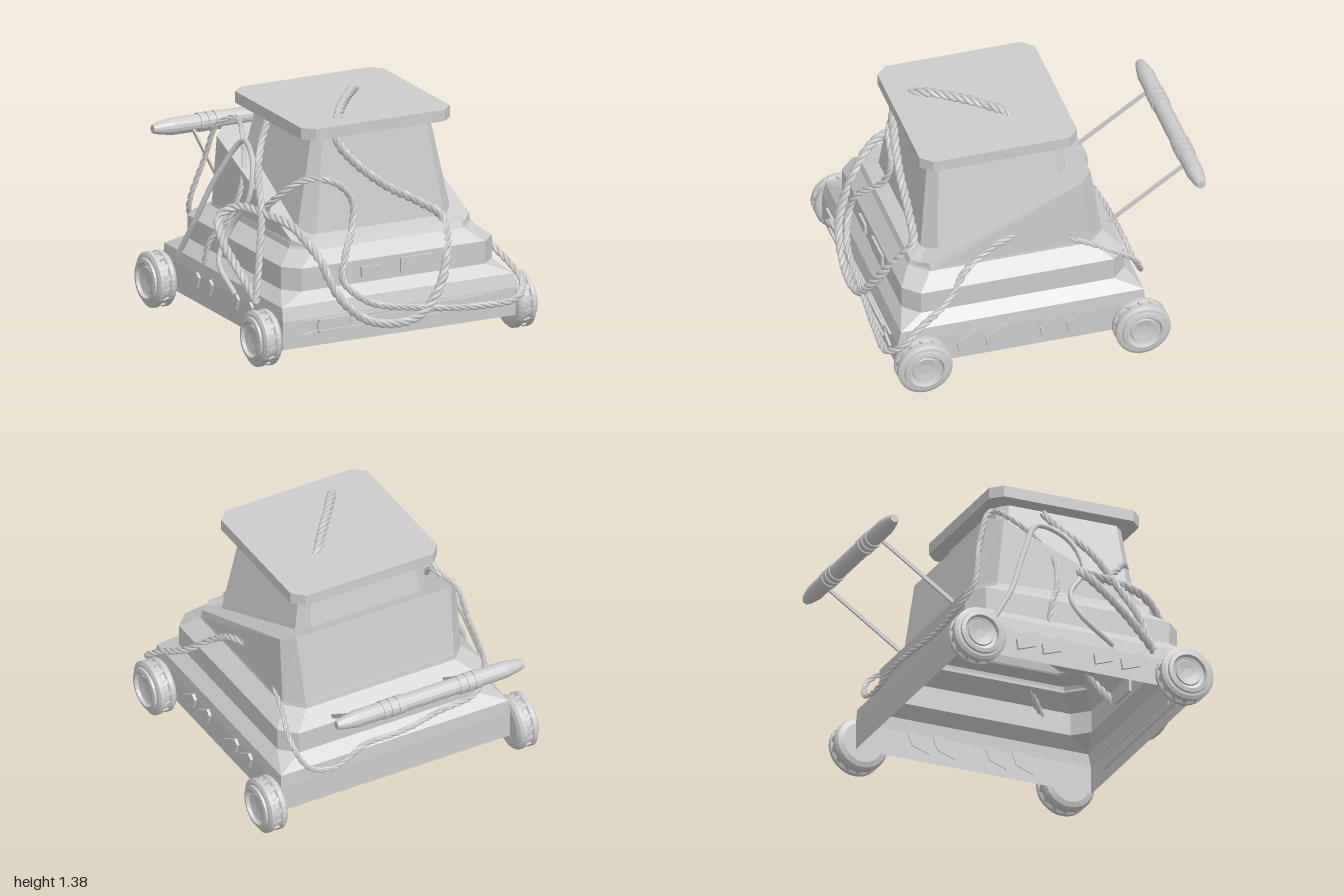
import * as THREE from 'three';

const V = (p) => new THREE.Vector3(...p);
const flat = new THREE.MeshStandardMaterial({ color: 0xcccccc, flatShading: true, side: THREE.DoubleSide });
const smooth = new THREE.MeshStandardMaterial({ color: 0xcccccc });

function add(parent, name, geometry, material = flat, pos = [0, 0, 0]) {
  const m = new THREE.Mesh(geometry, material);
  m.name = name;
  m.position.set(...pos);
  parent.add(m);
  return m;
}

// Shell through rectangular rings with cut corners: [y or y(z), half width, back z, front z, corner cut]
function loft(rings) {
  const pos = [], idx = [];
  for (const [y, x, b, f, c] of rings) {
    const ring = [[c - x, f], [x - c, f], [x, f - c], [x, b + c], [x - c, b], [c - x, b], [-x, b + c], [-x, f - c]];
    for (const [px, pz] of ring) pos.push(px, typeof y === 'function' ? y(pz) : y, pz);
  }
  for (let i = 0; i < rings.length - 1; i++) {
    for (let j = 0; j < 8; j++) {
      const a = i * 8 + j, b = i * 8 + (j + 1) % 8;
      idx.push(a, b, b + 8, a, b + 8, a + 8);
    }
  }
  const g = new THREE.BufferGeometry();
  g.setAttribute('position', new THREE.Float32BufferAttribute(pos, 3));
  g.setIndex(idx);
  g.computeVertexNormals();
  return g;
}

// Thin plate from an outline
function plate(points, depth) {
  const s = new THREE.Shape(points.map(([x, y]) => new THREE.Vector2(x, y)));
  return new THREE.ExtrudeGeometry(s, { depth, bevelEnabled: false });
}

// Rope of three strands twisted around a path
function rope(parent, name, points, r, pitch = 0.16) {
  const group = new THREE.Group();
  group.name = name;
  const path = new THREE.CatmullRomCurve3(points.map(V), false, 'centripetal');
  const length = path.getLength(), n = Math.ceil(length * 75);
  const frames = path.computeFrenetFrames(n, false);
  for (let k = 0; k < 3; k++) {
    const pts = [];
    for (let i = 0; i <= n; i++) {
      const a = (i / n) * length / pitch * Math.PI * 2 + k * Math.PI * 2 / 3;
      pts.push(path.getPointAt(i / n)
        .addScaledVector(frames.normals[i], Math.cos(a) * r * 0.52)
        .addScaledVector(frames.binormals[i], Math.sin(a) * r * 0.52));
    }
    add(group, name + 'Strand', new THREE.TubeGeometry(new THREE.CatmullRomCurve3(pts), n, r * 0.55, 6), smooth);
  }
  parent.add(group);
}

function makeWheel() {
  const wheel = new THREE.Group();
  wheel.name = 'wheel';
  const profile = [[0, -0.07], [0.12, -0.07], [0.15, -0.06], [0.163, -0.045], [0.163, -0.022], [0.148, -0.014],
    [0.148, 0.014], [0.163, 0.022], [0.163, 0.045], [0.145, 0.055], [0.13, 0.057], [0.127, 0.07], [0.105, 0.074],
    [0.097, 0.055], [0.08, 0.05], [0.075, 0.058], [0.03, 0.05], [0, 0.05]];
  const tire = new THREE.LatheGeometry(profile.map(([x, y]) => new THREE.Vector2(x, y)), 32);
  add(wheel, 'tireAndHub', tire).rotation.z = -Math.PI / 2;
  // angled tread lugs in the middle groove
  for (let i = 0; i < 14; i++) {
    const a = i / 14 * Math.PI * 2;
    const lug = add(wheel, 'treadLug', new THREE.BoxGeometry(0.05, 0.012, 0.022), flat,
      [0, Math.cos(a) * 0.152, Math.sin(a) * 0.152]);
    lug.rotation.set(a, 0.5, 0);
  }
  return wheel;
}

export function createModel() {
  const model = new THREE.Group();
  model.name = 'wheeledUnit';

  // Stepped hull, open underneath
  add(model, 'hull', loft([
    [0.115, 0.75, -0.565, 0.91, 0], [0.28, 0.75, -0.565, 0.91, 0], [0.36, 0.745, -0.56, 0.89, 0],
    [0.425, 0.68, -0.49, 0.84, 0.09], [0.56, 0.68, -0.49, 0.84, 0.09], [0.635, 0.585, -0.39, 0.77, 0.1],
    [0.67, 0.58, -0.385, 0.755, 0.1], [0.7, 0.49, -0.27, 0.67, 0.09]]));

  // Wedge-shaped collar rising to the back
  const slope = (z) => 0.675 + (0.7 - z) * 0.41;
  add(model, 'collar', loft([
    [0.635, 0.583, -0.388, 0.765, 0.1], [slope, 0.575, -0.31, 0.74, 0.07], [slope, 0.38, -0.17, 0.6, 0.06]]));

  // Tower and top plate
  add(model, 'tower', loft([[0.695, 0.495, -0.28, 0.675, 0.08], [1.26, 0.38, -0.17, 0.605, 0.05]]));
  add(model, 'topPlate', loft([
    [1.257, 0, 0.21, 0.21, 0], [1.257, 0.48, -0.26, 0.68, 0.065],
    [1.325, 0.48, -0.26, 0.68, 0.065], [1.325, 0, 0.21, 0.21, 0]]));

  // Front covers and vent
  add(model, 'smallCover', new THREE.BoxGeometry(0.125, 0.06, 0.03), flat, [-0.15, 0.49, 0.84]);
  add(model, 'largeCover', new THREE.BoxGeometry(0.2, 0.09, 0.03), flat, [0.14, 0.495, 0.84]);
  add(model, 'ventBody', plate([[-0.63, 0.19], [0.63, 0.19], [0.53, 0.21], [0.53, 0.255], [0.63, 0.275],
    [-0.63, 0.275], [-0.53, 0.255], [-0.53, 0.21]], 0.02), flat, [0, 0, 0.905]);
  for (const y of [0.2, 0.265]) add(model, 'ventLip', new THREE.BoxGeometry(1.06, 0.014, 0.04), flat, [0, y, 0.92]);
  add(model, 'ventInset', new THREE.BoxGeometry(0.47, 0.025, 0.03), flat, [-0.09, 0.235, 0.918]);

  // Slanted badges along both sides
  const badge = [[-0.075, -0.005], [0.04, 0.065], [0.072, 0.04], [0.045, -0.03], [-0.065, -0.068]];
  for (const side of [-1, 1]) {
    for (const [z, flip] of [[0.485, 1], [0.315, 1], [-0.01, 1], [-0.17, 1]]) {
      const pts = badge.map(([u, v]) => [-side * u * flip, v]);
      const b = add(model, 'sideBadge', plate(side > 0 ? pts.reverse() : pts, 0.022), flat, [side * 0.745, 0.235, z]);
      b.rotation.y = side * Math.PI / 2;
      b.scale.x = side > 0 ? -1 : 1;
      if (side > 0) b.geometry.scale(-1, 1, 1), b.scale.x = 1;
    }
  }

  // Wheels
  for (const side of [-1, 1]) {
    for (const z of [0.78, -0.52]) {
      const w = makeWheel();
      w.position.set(side * 0.823, 0.166, z);
      if (side < 0) w.rotation.y = Math.PI;
      model.add(w);
    }
  }

  // Push handle at the back
  const handle = new THREE.Group();
  handle.name = 'handle';
  handle.position.set(-0.01, 0.915, -0.945);
  const bar = [[0, -0.61], [0.025, -0.61], [0.037, -0.57], [0.05, -0.49], [0.05, 0.49], [0.037, 0.57], [0.025, 0.61], [0, 0.61]];
  add(handle, 'handleBar', new THREE.LatheGeometry(bar.map(([x, y]) => new THREE.Vector2(x, y)), 16)).rotation.z = Math.PI / 2;
  for (const x of [-0.25, 0.25]) {
    for (const dx of [-0.05, 0, 0.05]) {
      add(handle, 'gripRing', new THREE.CylinderGeometry(0.056, 0.056, 0.04, 16), flat, [x + dx, 0, 0]).rotation.z = Math.PI / 2;
    }
  }
  model.add(handle);
  for (const x of [-0.375, 0.355]) {
    const rod = add(model, 'handleRod', new THREE.BoxGeometry(0.012, 0.024, 0.6), flat, [x, 0.735, -0.69]);
    rod.rotation.x = Math.atan2(0.34, 0.5);
  }

  // Rope over the top plate
  rope(model, 'topRope', [[-0.22, 1.3, 0.56], [-0.17, 1.335, 0.49], [-0.06, 1.35, 0.34],
    [0.06, 1.35, 0.19], [0.13, 1.335, 0.1], [0.18, 1.3, 0.05]], 0.027);
  // Heavy rope hanging down the front and around to the side
  rope(model, 'frontRope', [[-0.26, 1.27, 0.6], [-0.24, 1.19, 0.64], [-0.15, 1.08, 0.66], [0.03, 0.93, 0.68],
    [0.25, 0.8, 0.69], [0.38, 0.7, 0.71], [0.33, 0.5, 0.86], [0.24, 0.34, 0.93], [0.12, 0.22, 0.95], [-0.02, 0.19, 0.96],
    [-0.22, 0.23, 0.95], [-0.38, 0.37, 0.92], [-0.47, 0.6, 0.81], [-0.55, 0.75, 0.66], [-0.62, 0.78, 0.42],
    [-0.68, 0.77, 0.2], [-0.77, 0.72, 0.17], [-0.81, 0.62, 0.27], [-0.79, 0.45, 0.48], [-0.76, 0.32, 0.62]], 0.026);
  // Lighter rope from the left side, across the front and up
  rope(model, 'wrapRope', [[0.57, 0.77, 0.17], [0.6, 0.74, 0.3], [0.62, 0.63, 0.46], [0.71, 0.5, 0.6], [0.78, 0.38, 0.8],
    [0.8, 0.3, 0.9], [0.73, 0.24, 0.97], [0.5, 0.22, 0.965], [0.1, 0.26, 0.94], [-0.2, 0.33, 0.925], [-0.34, 0.46, 0.87],
    [-0.31, 0.58, 0.83], [-0.2, 0.72, 0.71], [-0.18, 0.87, 0.67], [-0.3, 0.99, 0.65], [-0.44, 0.99, 0.57],
    [-0.56, 0.88, 0.47], [-0.59, 0.78, 0.36], [-0.54, 0.77, 0.26]], 0.02);
  // Rope along the back, climbing the right rear corner
  rope(model, 'backRope', [[0.56, 0.7, -0.12], [0.6, 0.63, -0.3], [0.65, 0.52, -0.52], [0.58, 0.38, -0.59],
    [0.42, 0.33, -0.6], [0.2, 0.4, -0.575], [-0.05, 0.4, -0.565], [-0.3, 0.42, -0.53], [-0.55, 0.46, -0.52],
    [-0.64, 0.58, -0.46], [-0.57, 0.9, -0.39], [-0.53, 1.1, -0.32], [-0.46, 1.16, -0.22], [-0.49, 1.08, -0.08],
    [-0.57, 0.88, 0.07], [-0.65, 0.66, 0.06], [-0.74, 0.52, -0.01], [-0.76, 0.38, -0.04]], 0.016);
  // Rope down the right side
  rope(model, 'sideRope', [[-0.41, 1.23, 0.08], [-0.5, 1.1, 0.16], [-0.59, 0.95, 0.3], [-0.63, 0.78, 0.42],
    [-0.71, 0.55, 0.54], [-0.77, 0.32, 0.61]], 0.022);
  // Plain hose looping on the right side
  const hose = new THREE.CatmullRomCurve3([[-0.75, 0.34, -0.38], [-0.71, 0.57, -0.25], [-0.63, 0.85, -0.14], [-0.53, 1.09, 0],
    [-0.56, 1.02, 0.17], [-0.62, 0.82, 0.24], [-0.68, 0.62, 0.13], [-0.77, 0.45, 0.16], [-0.77, 0.3, 0.36]].map(V));
  add(model, 'hose', new THREE.TubeGeometry(hose, 90, 0.016, 8), smooth);

  return model;
}
